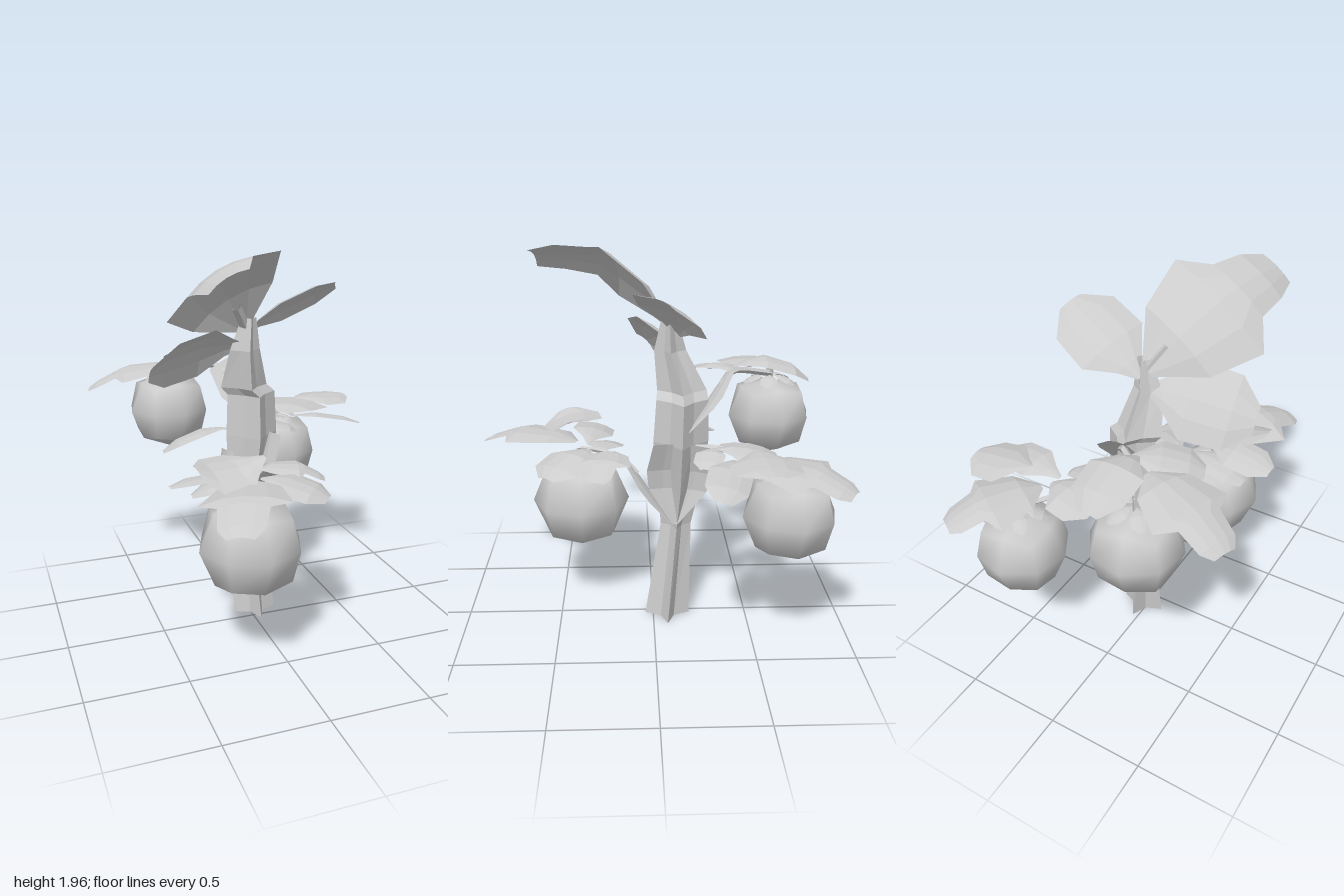
import * as THREE from 'three';
import { mergeVertices } from 'three/addons/utils/BufferGeometryUtils.js';

const flat = new THREE.MeshStandardMaterial({ color: 0xcccccc, flatShading: true, side: THREE.DoubleSide });
const smooth = new THREE.MeshStandardMaterial({ color: 0xcccccc });
const V = (p) => new THREE.Vector3(...p);

// half-width of a leaf along its midrib: [position, width]
const PLAIN = [[0, 0.1], [0.16, 0.4], [0.4, 1], [0.78, 0.95], [1, 0.35]];
const LOBED = [[0, 0.1], [0.2, 0.68], [0.56, 1], [0.66, 0.55], [0.9, 0.48], [1, 0.28]];
const SHEATH = [[0, 0.6], [0.4, 1], [0.6, 0.85], [1, 0.08]];

function add(group, name, geometry, material = flat) {
  const mesh = new THREE.Mesh(geometry, material);
  mesh.name = name;
  group.add(mesh);
  return mesh;
}

// joins rings of equal length into a surface
function loft(rings, closed) {
  const n = rings[0].length, index = [];
  for (let r = 0; r < rings.length - 1; r++) {
    for (let i = 0; i < (closed ? n : n - 1); i++) {
      const a = r * n + i, b = r * n + (i + 1) % n;
      index.push(a, a + n, b, b, a + n, b + n);
    }
  }
  const g = new THREE.BufferGeometry().setFromPoints(rings.flat());
  g.setIndex(index);
  g.computeVertexNormals();
  return g;
}

// leaf folded along its midrib; side gives the direction of its width
function leaf(group, name, base, tip, width, side, arch = 0.05, outline = PLAIN) {
  const a = V(base), b = V(tip);
  const dir = b.clone().sub(a).normalize();
  const s = V(side);
  s.addScaledVector(dir, -s.dot(dir)).normalize();
  const up = s.clone().cross(dir);
  if (up.y < 0) up.negate();
  const rings = outline.map(([t, w]) => {
    const mid = a.clone().lerp(b, t).addScaledVector(up, arch * 4 * t * (1 - t));
    const half = w * width / 2;
    return [-1, -0.5, 0, 0.5, 1].map((k) => mid.clone()
      .addScaledVector(s, k * half)
      .addScaledVector(up, -0.2 * half * k * k));
  });
  add(group, name, loft(rings, false));
}

function stalk(group, name, points, radius) {
  const curve = new THREE.CatmullRomCurve3(points.map(V));
  add(group, name, new THREE.TubeGeometry(curve, 5, radius, 4));
}

// rounded cube fruit with its ring of small sepals
function fruit(group, [x, y, z], r, turn) {
  let g = new THREE.BoxGeometry(1, 1, 1, 2, 2, 2);
  g.deleteAttribute('normal');
  g.deleteAttribute('uv');
  g = mergeVertices(g);
  const p = g.attributes.position, v = new THREE.Vector3();
  for (let i = 0; i < p.count; i++) {
    v.fromBufferAttribute(p, i).normalize().multiplyScalar(r);
    if (v.y > r * 0.9) v.y = r * 0.82;
    else if (Math.abs(v.x * v.y * v.z) > 0) v.multiplyScalar(1.04);
    p.setXYZ(i, v.x, v.y, v.z);
  }
  g.computeVertexNormals();
  const ball = add(group, 'fruit', g, smooth);
  ball.position.set(x, y, z);
  ball.rotation.y = turn;
  const top = y + r * 0.95;
  for (let i = 0; i < 5; i++) {
    const a = turn + i * Math.PI * 0.4, c = Math.cos(a), s = Math.sin(a);
    leaf(group, 'sepal', [x + c * 0.02, top, z + s * 0.02],
      [x + c * 0.14, top - 0.04, z + s * 0.14], 0.09, [-s, 0, c], 0.015);
  }
  stalk(group, 'fruitStem', [[x, top - 0.06, z], [x, top, z], [x, top + 0.04, z]], 0.02);
}

export function createModel() {
  const plant = new THREE.Group();
  plant.name = 'fruitPlant';

  // trunk with a cross-shaped section: [y, x, z, radius, inner radius ratio]
  const trunk = [
    [0.005, 0.03, -0.075, 0.118, 0.42], [0.53, 0.005, -0.12, 0.08, 0.5], [0.75, 0.02, -0.135, 0.11, 0.55],
    [1.0, 0.04, -0.14, 0.14, 0.6], [1.22, 0.04, -0.145, 0.13, 0.6], [1.26, 0.0, -0.145, 0.125, 0.6],
    [1.46, -0.015, -0.085, 0.08, 0.55], [1.62, 0.005, -0.08, 0.04, 0.55],
  ];
  const rings = trunk.map(([y, x, z, r, inner]) => Array.from({ length: 8 }, (_, i) => {
    const a = i * Math.PI / 4, k = i % 2 ? r * inner : r;
    return new THREE.Vector3(x + k * Math.cos(a), y, z + k * Math.sin(a));
  }));
  add(plant, 'trunk', loft(rings, true));

  // pointed sheaths that carry the branches
  leaf(plant, 'sheath', [0.12, 1.01, -0.14], [0.09, 0.56, -0.11], 0.33, [0, 0.08, 1], 0.04,
    [[0, 0.87], [0.35, 1], [0.58, 0.9], [1, 0.08]]);
  leaf(plant, 'sheath', [-0.1, 0.92, -0.15], [-0.14, 0.45, -0.11], 0.18, [0.3, 0, 1], 0, SHEATH);
  leaf(plant, 'sheath', [-0.01, 0.9, 0.14], [0.11, 0.56, -0.1], 0.19, [1, 0, 0], 0, SHEATH);
  leaf(plant, 'sheath', [-0.06, 1.34, -0.38], [0.13, 1.06, -0.16], 0.22, [1, 0, 0], 0, SHEATH);

  // crown leaves
  leaf(plant, 'crownLeaf', [-0.02, 1.57, -0.1], [-0.33, 1.89, 0.6], 0.61, [1, 0.52, 0.05], 0.16,
    [[0, 0.12], [0.22, 0.74], [0.52, 1], [0.66, 0.56], [0.85, 0.48], [1, 0.32]]);
  leaf(plant, 'crownLeaf', [0.0, 1.54, -0.12], [0.45, 1.78, -0.03], 0.37, [0, 0.6, 1], 0.04);
  leaf(plant, 'crownLeaf', [-0.02, 1.48, -0.1], [-0.53, 1.4, 0.02], 0.39, [0.15, 0.9, 0.85], 0.05);
  stalk(plant, 'crownStalk', [[-0.02, 1.4, -0.1], [-0.01, 1.55, -0.09], [-0.08, 1.68, -0.02]], 0.025);

  // front fruiting branch
  const front = new THREE.Group();
  front.name = 'frontBranch';
  stalk(front, 'branch', [[0.02, 0.82, 0.08], [0.0, 0.88, 0.14], [-0.08, 0.91, 0.27], [-0.15, 0.9, 0.38]], 0.012);
  fruit(front, [-0.155, 0.61, 0.385], 0.258, 0.05);
  leaf(front, 'leaf', [-0.15, 0.94, 0.4], [-0.38, 0.89, 0.9], 0.42, [1, 0.1, 0.4], 0.07, LOBED);
  leaf(front, 'leaf', [-0.08, 0.92, 0.33], [0.18, 0.86, 0.54], 0.3, [-0.6, 0, 0.7], 0.04);
  leaf(front, 'leaf', [-0.04, 0.92, 0.2], [0.27, 0.87, 0.29], 0.28, [-0.3, 0, 1], 0.05, LOBED);
  leaf(front, 'leaf', [-0.15, 0.93, 0.34], [-0.52, 0.92, 0.3], 0.22, [0, 0.2, 1], 0.04);
  leaf(front, 'leaf', [-0.1, 1.06, 0.43], [-0.43, 1.04, 0.47], 0.34, [0, -0.26, 1], -0.03);
  leaf(front, 'leaf', [-0.08, 0.9, 0.27], [-0.4, 0.84, 0.24], 0.2, [0.2, 0.1, 1], 0.04);
  plant.add(front);

  // rear left fruiting branch
  const left = new THREE.Group();
  left.name = 'rearLeftBranch';
  stalk(left, 'branch', [[0.08, 0.98, -0.2], [0.16, 1.0, -0.35], [0.28, 0.98, -0.5], [0.38, 0.98, -0.65]], 0.016);
  fruit(left, [0.372, 0.742, -0.645], 0.232, 0.15);
  leaf(left, 'leaf', [0.36, 1.0, -0.48], [0.62, 0.94, -0.89], 0.44, [1, -0.05, 0.5], 0.06, LOBED);
  leaf(left, 'leaf', [0.42, 1.09, -0.47], [0.74, 1.08, -0.5], 0.32, [0.1, 0, 1], 0.01);
  leaf(left, 'leaf', [0.32, 1.0, -0.38], [0.74, 0.96, -0.28], 0.21, [-0.1, 0.2, 1], 0.04);
  leaf(left, 'leaf', [0.34, 0.99, -0.42], [0.04, 0.98, -0.49], 0.3, [-0.2, 0.1, 1], 0.04);
  leaf(left, 'leaf', [0.15, 1.0, -0.3], [0.34, 0.96, -0.24], 0.15, [-0.3, 0, 1], 0.03);
  plant.add(left);

  // rear right fruiting branch
  const right = new THREE.Group();
  right.name = 'rearRightBranch';
  stalk(right, 'branch', [[-0.02, 1.28, -0.34], [-0.08, 1.33, -0.4], [-0.16, 1.32, -0.46], [-0.28, 1.27, -0.64]], 0.016);
  fruit(right, [-0.285, 1.05, -0.635], 0.224, 0.2);
  leaf(right, 'leaf', [-0.25, 1.32, -0.48], [-0.72, 1.2, -0.65], 0.42, [-0.35, 0, 1], 0.06, LOBED);
  leaf(right, 'leaf', [-0.16, 1.34, -0.42], [-0.15, 1.28, -0.81], 0.28, [1, 0, 0], 0.08);
  leaf(right, 'leaf', [-0.12, 1.32, -0.42], [-0.43, 1.27, -0.28], 0.26, [0.3, 0.1, 1], 0.04);
  // low leaf behind the trunk
  leaf(right, 'leaf', [-0.05, 1.02, -0.2], [-0.42, 0.92, -0.24], 0.24, [0, 0.2, 1], 0.05);
  plant.add(right);

  return plant;
}
